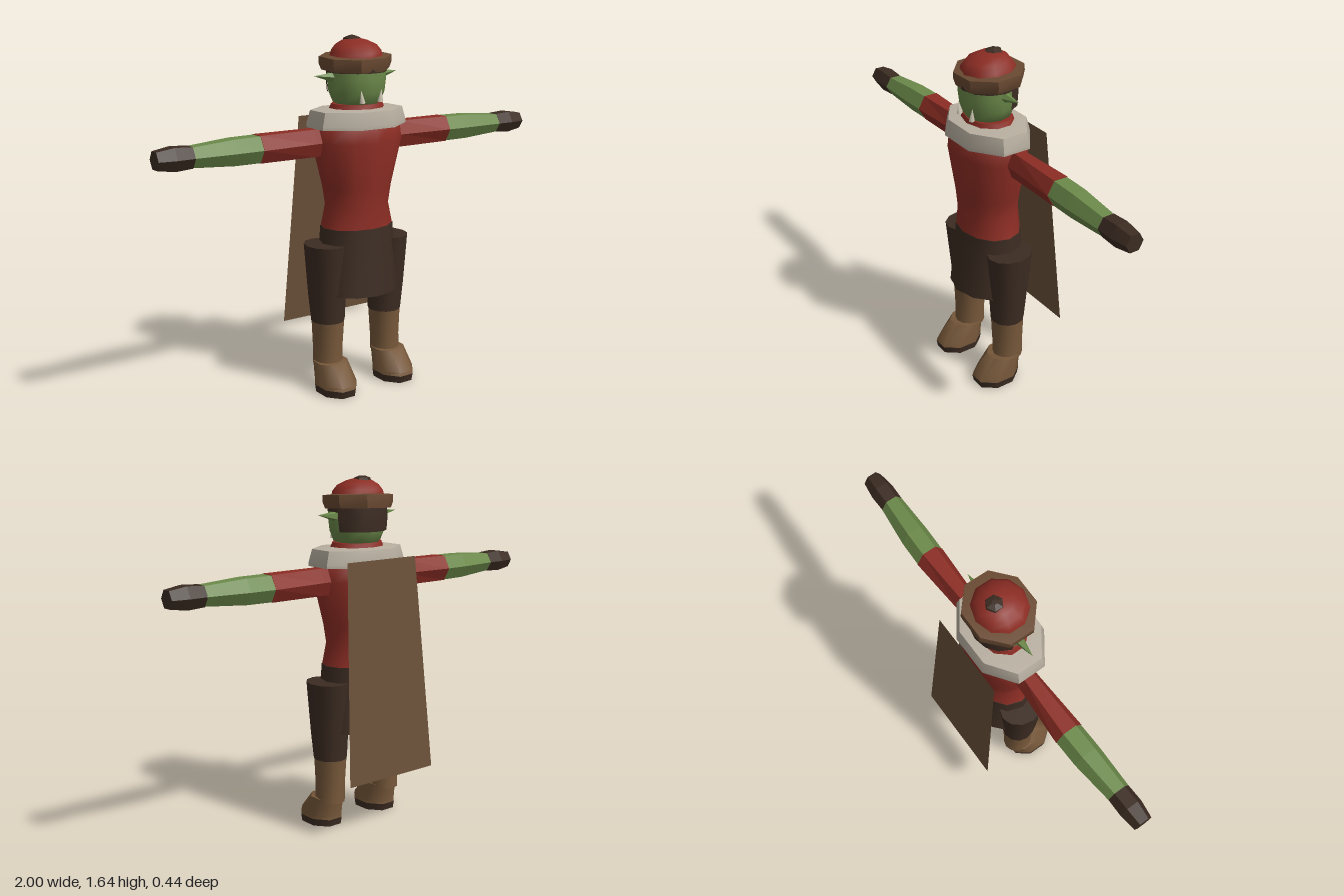
import * as THREE from 'three';
import { toCreasedNormals } from 'three/addons/utils/BufferGeometryUtils.js';

const mat = (name, color) => {
  const m = new THREE.MeshStandardMaterial({ color });
  m.name = name;
  return m;
};

const SMOOTH = 0.95, FLAT = 0.05;

// Stack of elliptical rings [y, rx, rz, cx, cz], listed from bottom to top, with capped ends.
function loft(rings, sides = 12, phase = 0, crease = SMOOTH, from = 0, sweep = Math.PI * 2) {
  const pos = [], idx = [], grow = 1 / Math.cos(phase);
  const cols = sides + 1;
  rings.forEach(([y, rx, rz, cx = 0, cz = 0.035]) => {
    for (let i = 0; i < cols; i++) {
      const a = from + phase + (i / sides) * sweep;
      pos.push(cx + rx * grow * Math.sin(a), y, cz + rz * grow * Math.cos(a));
    }
  });
  for (let j = 0; j < rings.length - 1; j++) {
    for (let i = 0; i < sides; i++) {
      const a = j * cols + i, b = a + 1, c = a + cols, d = c + 1;
      idx.push(a, b, d, a, d, c);
    }
  }
  const last = rings.length - 1;
  [0, last].forEach((j) => {
    const [y, , , cx = 0, cz = 0.035] = rings[j];
    const centre = pos.length / 3;
    pos.push(cx, y, cz);
    for (let i = 0; i < sides; i++) {
      const a = j * cols + i;
      if (j === 0) idx.push(centre, a + 1, a);
      else idx.push(centre, a, a + 1);
    }
  });
  const g = new THREE.BufferGeometry();
  g.setAttribute('position', new THREE.Float32BufferAttribute(pos, 3));
  g.setIndex(idx);
  return toCreasedNormals(g, crease);
}

export function createModel() {
  const root = new THREE.Group();
  root.name = 'capedFigure';
  const red = mat('red cloth', 0x8c2d24);
  const green = mat('green skin', 0x6c8a4a);
  const dark = mat('dark brown cloth', 0x3c2c22);
  const boot = mat('boot leather', 0x77583a);
  const capeCloth = mat('cape cloth', 0x6b5139);
  const fur = mat('pale collar', 0xb8afa0);
  const bandBrown = mat('hat band brown', 0x6a4a32);
  const ivory = mat('tusk ivory', 0xc9c2ae);

  const add = (name, geometry, material, parent = root) => {
    const m = new THREE.Mesh(geometry, material);
    m.name = name;
    parent.add(m);
    return m;
  };

  // Body
  add('torso', loft([
    [0.765, 0.18, 0.138], [0.87, 0.152, 0.135], [0.96, 0.168, 0.141],
    [1.17, 0.225, 0.164], [1.25, 0.215, 0.155], [1.3, 0.15, 0.115],
  ]), red);
  add('neckCloth', loft([[1.29, 0.15, 0.12], [1.338, 0.125, 0.105]], 10), red);
  add('collar', loft([
    [1.235, 0.228, 0.164], [1.25, 0.229, 0.165], [1.312, 0.212, 0.15], [1.318, 0.14, 0.11],
  ], 8, Math.PI / 8, 0.8), fur);
  add('skirt', loft([
    [0.46, 0.2, 0.175], [0.69, 0.187, 0.146], [0.772, 0.181, 0.139],
  ]), dark);

  // Cape: one tilted flat sheet
  const sheet = new THREE.PlaneGeometry(1, 1);
  const p = sheet.attributes.position;
  for (let i = 0; i < p.count; i++) {
    const top = p.getY(i) > 0;
    p.setXYZ(i, p.getX(i) * (top ? 0.4 : 0.5), top ? 1.27 : 0.265, top ? -0.143 : -0.22);
  }
  sheet.computeVertexNormals();
  capeCloth.side = THREE.DoubleSide;
  add('cape', sheet, capeCloth);

  // Head
  add('head', loft([
    [1.325, 0.085, 0.085], [1.345, 0.112, 0.105], [1.39, 0.13, 0.122, 0, 0.034],
    [1.45, 0.137, 0.13, 0, 0.033], [1.52, 0.134, 0.126, 0, 0.033],
  ]), green);
  add('backHair', loft([
    [1.39, 0.136, 0.128, 0, 0.03], [1.45, 0.143, 0.134, 0, 0.033], [1.52, 0.14, 0.13, 0, 0.033],
  ], 6, 0, SMOOTH, Math.PI * 0.58, Math.PI * 0.84), dark);
  add('hairline', loft([
    [1.478, 0.139, 0.131, 0, 0.033], [1.52, 0.14, 0.131, 0, 0.033],
  ]), dark);

  // Hat
  const hat = new THREE.Group();
  hat.name = 'hat';
  hat.position.set(0, 1.52, 0.025);
  hat.rotation.set(0.06, 0, 0.03);
  root.add(hat);
  add('hatBand', loft([
    [-0.03, 0.148, 0.137, 0, 0], [0.0, 0.16, 0.143, 0, 0],
    [0.03, 0.159, 0.142, 0, 0], [0.034, 0.12, 0.112, 0, 0],
  ], 8, Math.PI / 8, 0.5), bandBrown);
  hat.add(root.children[root.children.length - 1]);
  add('hatDome', loft([
    [0.02, 0.13, 0.124, 0, 0.004], [0.05, 0.12, 0.118, 0, 0.004],
    [0.075, 0.1, 0.098, 0, 0.002], [0.095, 0.062, 0.062, 0, -0.006], [0.104, 0.03, 0.03, 0, -0.015],
  ], 10), red, hat);
  add('hatButton', loft([
    [0.085, 0.043, 0.043, 0, -0.03], [0.106, 0.038, 0.038, 0, -0.03], [0.116, 0.012, 0.012, 0, -0.03],
  ], 6, 0, FLAT), dark, hat);

  for (const [side, s] of [['left', 1], ['right', -1]]) {
    // Ears and tusks
    const ear = new THREE.ConeGeometry(0.028, 0.12, 5);
    ear.rotateZ(-s * (Math.PI / 2 - 0.1));
    ear.translate(s * 0.168, 1.463, 0.03);
    add(side + 'Ear', toCreasedNormals(ear, FLAT), green);
    const tusk = new THREE.ConeGeometry(0.014, 0.06, 5);
    tusk.rotateZ(-s * 0.12);
    tusk.translate(s * 0.052, 1.378, 0.15);
    add(side + 'Tusk', tusk, ivory);

    // Arms: hexagonal segments laid out sideways
    const arm = new THREE.Group();
    arm.name = side + 'Arm';
    arm.position.set(0, 1.173, 0);
    arm.rotation.z = -s * Math.PI / 2;
    root.add(arm);
    const hex = (rings) => loft(rings.map(([y, h, w, z]) => [y, h / Math.cos(Math.PI / 6), w, 0, z]), 6, 0, FLAT);
    add(side + 'Sleeve', hex([[0.16, 0.063, 0.05, 0.022], [0.24, 0.062, 0.052, 0.022], [0.515, 0.06, 0.068, 0.019]]), red, arm);
    add(side + 'Forearm', hex([[0.515, 0.058, 0.066, 0.019], [0.64, 0.057, 0.066, 0.022], [0.84, 0.043, 0.053, 0.031]]), green, arm);
    add(side + 'Glove', hex([[0.838, 0.045, 0.053, 0.031], [0.92, 0.05, 0.055, 0.032], [1.0, 0.038, 0.044, 0.032]]), dark, arm);

    // Legs and boots
    add(side + 'Thigh', loft([
      [0.33, 0.078, 0.08, s * 0.163], [0.46, 0.088, 0.089, s * 0.167], [0.7, 0.092, 0.11, s * 0.178],
    ]), dark);
    add(side + 'BootShaft', loft([
      [0.12, 0.068, 0.075, s * 0.166], [0.2, 0.068, 0.074, s * 0.165], [0.335, 0.076, 0.079, s * 0.163],
    ]), boot);
    add(side + 'BootFoot', loft([
      [0.033, 0.086, 0.111, s * 0.166, 0.105], [0.05, 0.086, 0.107, s * 0.166, 0.103],
      [0.138, 0.074, 0.077, s * 0.166, 0.058],
    ], 8, Math.PI / 8), boot);
    add(side + 'Sole', loft([
      [0, 0.083, 0.105, s * 0.166, 0.105], [0.034, 0.0865, 0.1115, s * 0.166, 0.105],
    ], 8, Math.PI / 8), dark);
  }
  return root;
}
